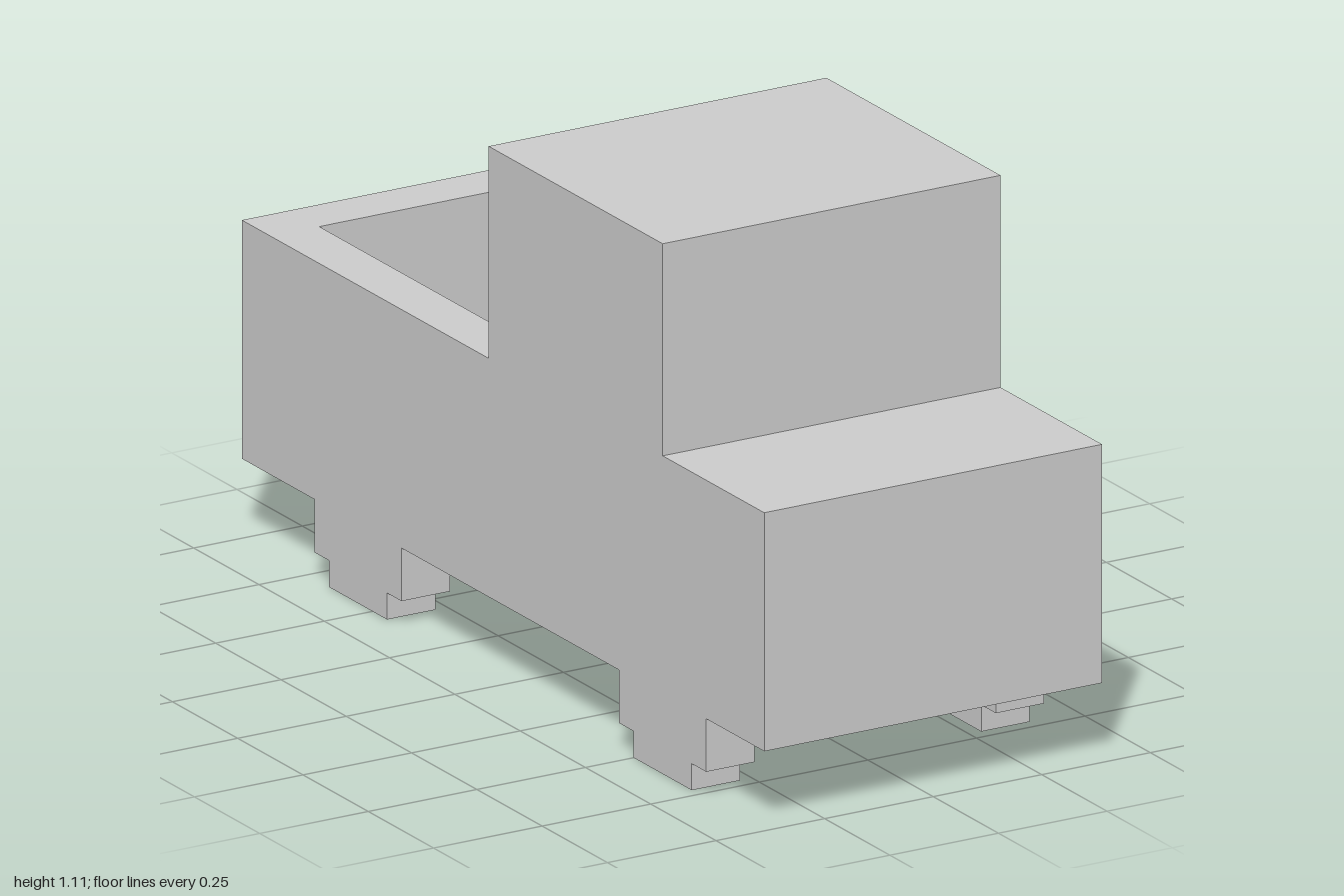
import * as THREE from 'three';

const U = 1 / 18; // one block of the grid the truck is built on
const material = new THREE.MeshStandardMaterial({ color: 0xcccccc, flatShading: true });

// Box given by its [min, max] range on each axis, in blocks
function block(name, [x0, x1], [y0, y1], [z0, z1]) {
  const geometry = new THREE.BoxGeometry((x1 - x0) * U, (y1 - y0) * U, (z1 - z0) * U);
  geometry.translate((x0 + x1) / 2 * U, (y0 + y1) / 2 * U, (z0 + z1) / 2 * U);
  const mesh = new THREE.Mesh(geometry, material);
  mesh.name = name;
  return mesh;
}

// Rectangle in plan; the shape's y axis becomes -z once laid flat
function planRect(Type, x0, x1, z0, z1) {
  return new Type([[x0, -z1], [x1, -z1], [x1, -z0], [x0, -z0]]
    .map(([x, y]) => new THREE.Vector2(x * U, y * U)));
}

export function createModel() {
  const truck = new THREE.Group();
  truck.name = 'truck';

  // Chassis slab, which is also the floor of the cargo bed
  truck.add(block('chassis', [-7, 7], [3, 5], [-18, 18]));

  // Body with the cargo bed cut through it
  const outline = planRect(THREE.Shape, -7, 7, -18, 18);
  outline.holes.push(planRect(THREE.Path, -5, 5, -16, -3));
  const bodyGeometry = new THREE.ExtrudeGeometry(outline, { depth: 7 * U, bevelEnabled: false });
  bodyGeometry.rotateX(-Math.PI / 2).translate(0, 5 * U, 0);
  const body = new THREE.Mesh(bodyGeometry, material);
  body.name = 'body';
  truck.add(body);

  // Cab
  truck.add(block('cab', [-7, 7], [12, 20], [-1, 11]));

  for (const side of [-1, 1]) {
    const span = (a, b) => (side > 0 ? [a, b] : [-b, -a]);
    const label = side > 0 ? 'left' : 'right';

    // Stepped wheels, flush with the body sides
    for (const [end, z] of [['Front', 11], ['Back', -10]]) {
      const wheel = new THREE.Group();
      wheel.name = `${label}${end}Wheel`;
      wheel.add(
        block('tread', span(5, 7), [0, 1], [z - 2, z + 2]),
        block('tyre', span(5, 7), [1, 3], [z - 3, z + 3]),
      );
      truck.add(wheel);
    }

    // Stepped wheel arch inside the bed
    const arch = new THREE.Group();
    arch.name = `${label}WheelArch`;
    arch.add(
      block('archBase', span(4, 5), [5, 6], [-14, -6]),
      block('archTop', span(4, 5), [6, 7], [-13, -7]),
    );
    truck.add(arch);
  }
  return truck;
}
